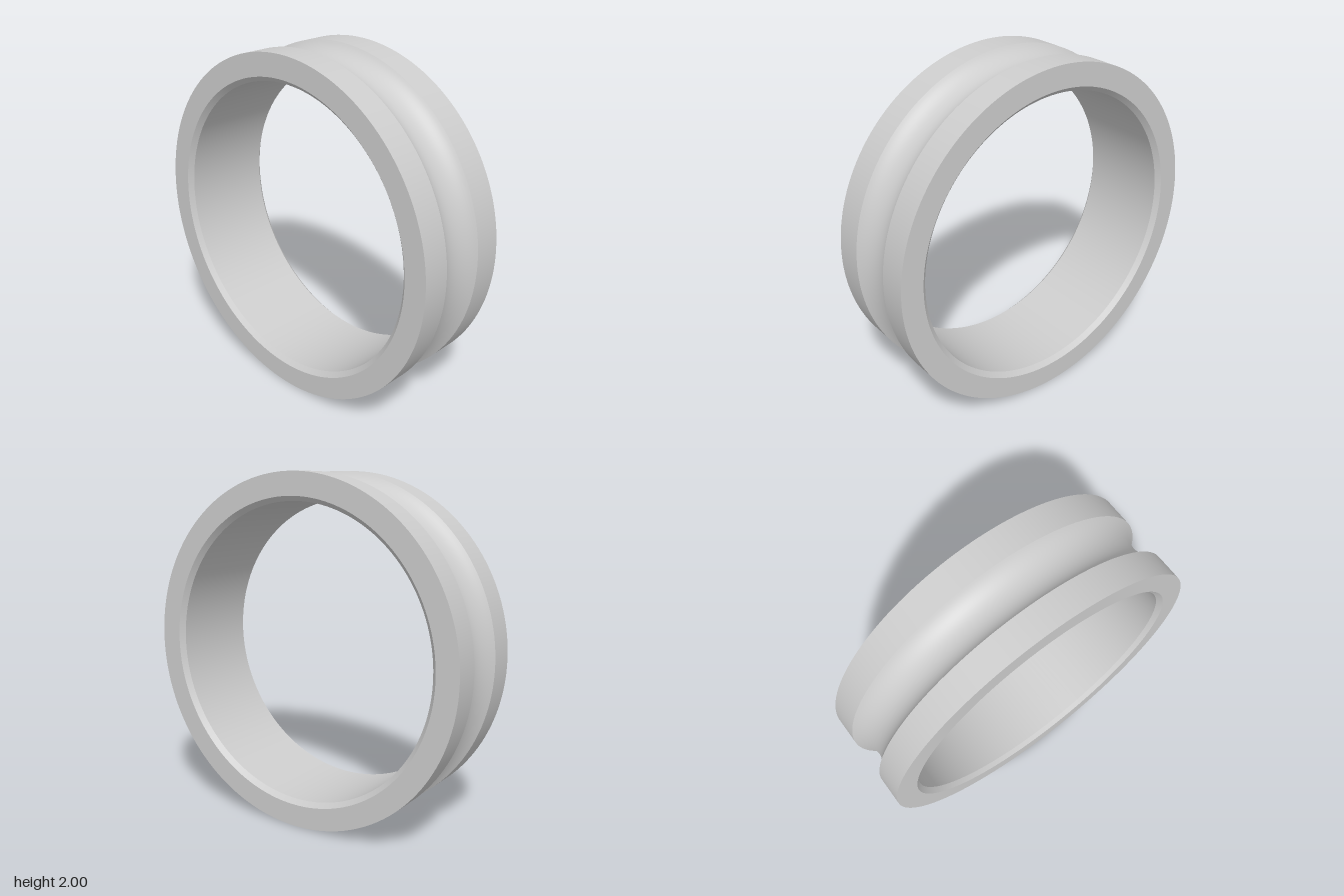
import * as THREE from 'three';

const SEGMENTS = 160;
const OUTER = 1, BORE = 0.843, HALF_WIDTH = 0.295, CHAMFER = 0.027;
const GROOVE_HALF = 0.13, GROOVE_DEPTH = 0.07;

export function createModel() {
  const model = new THREE.Group();
  model.name = 'grooved bearing ring';
  const steel = new THREE.MeshStandardMaterial({ color: 0xcccccc });
  steel.name = 'steel grey';

  const ring = new THREE.Group();
  ring.name = 'ring';
  ring.rotation.z = -Math.PI / 2; // lathe axis lies along x
  ring.position.y = OUTER;
  model.add(ring);

  // Each section is its own lathe, so edges between sections stay sharp.
  const section = (name, profile) => {
    const points = profile.map(([r, a]) => new THREE.Vector2(r, a));
    const mesh = new THREE.Mesh(new THREE.LatheGeometry(points, SEGMENTS), steel);
    mesh.name = name;
    ring.add(mesh);
  };

  // Ball groove: circular arc sunk into the rim
  const radius = (GROOVE_HALF ** 2 + GROOVE_DEPTH ** 2) / (2 * GROOVE_DEPTH);
  const centre = OUTER - GROOVE_DEPTH + radius;
  const sweep = Math.asin(GROOVE_HALF / radius);
  const arc = [];
  for (let i = 0; i <= 24; i++) {
    const t = sweep * (i / 12 - 1);
    arc.push([centre - radius * Math.cos(t), radius * Math.sin(t)]);
  }
  section('ballGroove', arc);

  // Shoulders, side faces and bore chamfers, mirrored left and right
  for (const [side, s] of [['left', 1], ['right', -1]]) {
    const strip = (name, profile) => {
      const p = profile.map(([r, a]) => [r, a * s]);
      section(side + name, s > 0 ? p : p.reverse());
    };
    strip('Shoulder', [[OUTER, GROOVE_HALF], [OUTER, HALF_WIDTH]]);
    strip('SideFace', [[OUTER, HALF_WIDTH], [BORE + CHAMFER, HALF_WIDTH]]);
    strip('BoreChamfer', [[BORE + CHAMFER, HALF_WIDTH], [BORE, HALF_WIDTH - CHAMFER]]);
  }

  // Bore
  section('bore', [[BORE, HALF_WIDTH - CHAMFER], [BORE, CHAMFER - HALF_WIDTH]]);

  return model;
}
